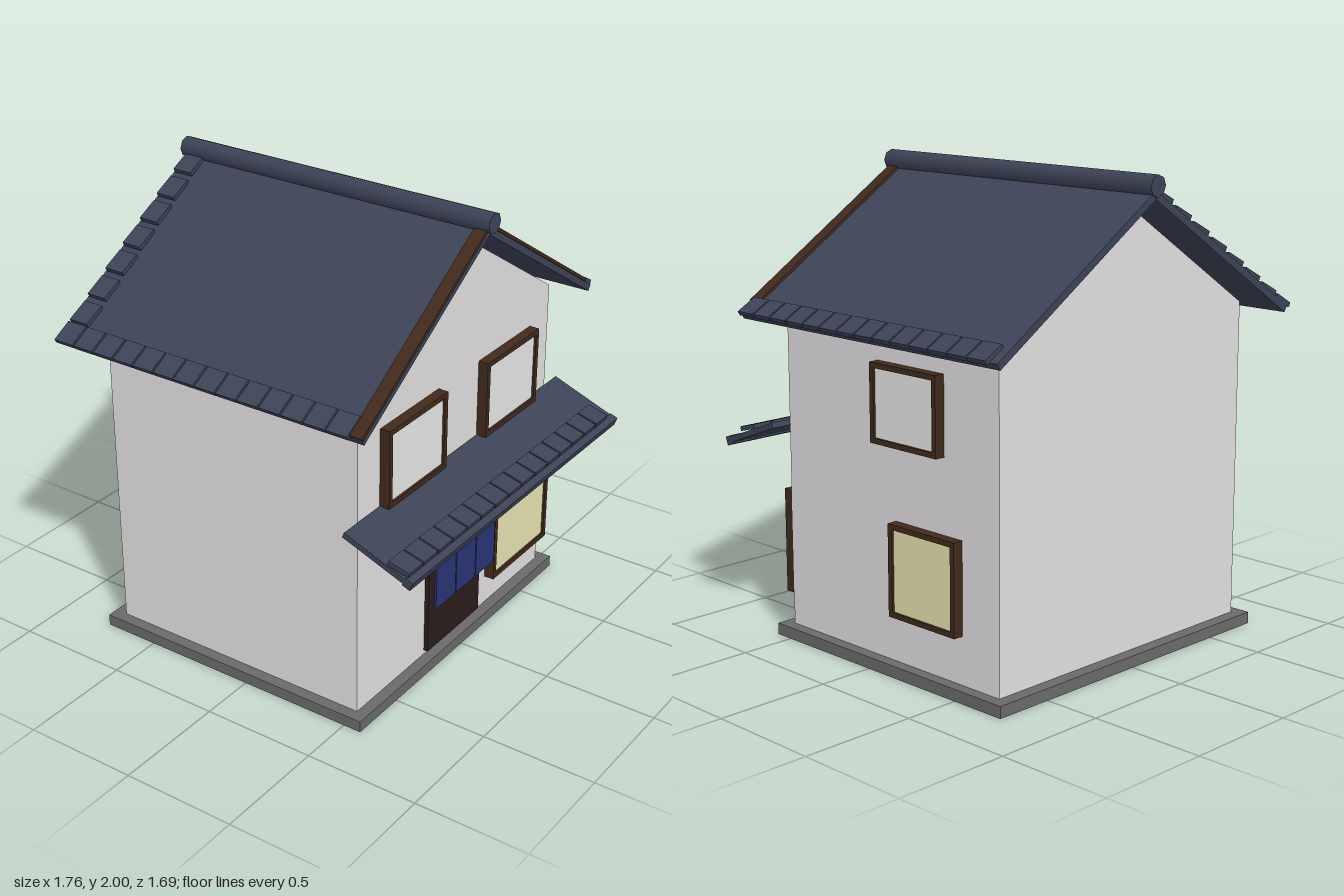
import * as THREE from 'three';

const mat = (name, color, extra = {}) => new THREE.MeshStandardMaterial({ name, color, ...extra });

export function createModel() {
  const house = new THREE.Group();
  house.name = 'house';

  const plaster = mat('plaster', 0xe2dfe1);
  const stone = mat('stone', 0x6a6a6a);
  const slate = mat('slate', 0x3d4356);
  const wood = mat('wood', 0x402a1c);
  const doorWood = mat('doorWood', 0x2a1c1a);
  const paleGlass = mat('paleGlass', 0xececec);
  const litGlass = mat('litGlass', 0xece6b4);
  const cloth = mat('cloth', 0x2a3474);

  // Box given by its [min, max] range on each axis
  function box(name, material, x, y, z, parent = house) {
    const m = new THREE.Mesh(
      new THREE.BoxGeometry(x[1] - x[0], y[1] - y[0], z[1] - z[0]), material);
    m.position.set((x[0] + x[1]) / 2, (y[0] + y[1]) / 2, (z[0] + z[1]) / 2);
    m.name = name;
    parent.add(m);
    return m;
  }

  // Base and walls
  const back = -0.695, front = 0.53, half = 0.71;
  box('base', stone, [-0.76, 0.76], [0, 0.05], [-0.75, 0.58]);
  box('walls', plaster, [-half, half], [0.05, 1.41], [back, front]);

  // Triangular gable block
  const tri = new THREE.Shape([
    new THREE.Vector2(-half, 1.41), new THREE.Vector2(half, 1.41), new THREE.Vector2(0, 1.87)]);
  const gable = new THREE.Mesh(
    new THREE.ExtrudeGeometry(tri, { depth: front - back, bevelEnabled: false }), plaster);
  gable.position.z = back;
  gable.name = 'gable';
  house.add(gable);

  // Window facing local +z, standing out from the wall
  function makeWindow(name, w, h, glass) {
    const g = new THREE.Group();
    g.name = name;
    const b = 0.022, d = 0.045, x = w / 2, y = h / 2;
    for (const s of [-1, 1]) {
      const sx = [s * x, s * (x - b)].sort((p, q) => p - q);
      const sy = [s * y, s * (y - b)].sort((p, q) => p - q);
      box('frameSide', wood, sx, [-y, y], [0, d], g);
      box('frameRail', wood, [-x + b, x - b], sy, [0, d], g);
    }
    box('pane', glass, [-x + b, x - b], [-y + b, y - b], [0, d - 0.01], g);
    house.add(g);
    return g;
  }
  for (const s of [-1, 1])
    makeWindow('upperFrontWindow', 0.41, 0.34, paleGlass).position.set(s * 0.355, 1.105, front);
  makeWindow('lowerFrontWindow', 0.45, 0.45, litGlass).position.set(0.485, 0.41, front);
  for (const [name, y, z, h, glass] of [
    ['upperSideWindow', 1.108, -0.212, 0.325, paleGlass],
    ['lowerSideWindow', 0.443, -0.308, 0.385, litGlass]]) {
    const w = makeWindow(name, 0.375, h, glass);
    w.position.set(half, y, z);
    w.rotation.y = Math.PI / 2;
  }

  // Door and the three hanging cloth panels
  box('door', doorWood, [-0.22, 0.18], [0.07, 0.625], [front, 0.55]);
  for (let i = 0; i < 3; i++) {
    const x = -0.25 + i * 0.154;
    box('doorCurtain', cloth, [x, x + 0.147], [0.32, 0.64], [0.596, 0.605]);
  }

  // Roof slopes: local x runs down the slope, local y is its normal
  const pitch = 0.571;
  for (const s of [-1, 1]) {
    const slope = new THREE.Group();
    slope.name = s < 0 ? 'rightRoofSlope' : 'leftRoofSlope';
    slope.position.y = 1.905;
    slope.rotation.z = -s * pitch;
    house.add(slope);
    const along = (a, b) => (s > 0 ? [a, b] : [-b, -a]);
    box('roofSlab', slate, along(0, 0.998), [0, 0.03], [-0.83, 0.65], slope);
    box('bargeBoard', wood, along(0, s < 0 ? 0.998 : 0.93), [0.028, 0.042], [0.598, 0.655], slope);
    // Row of tiles along the eave
    for (let i = 0; i < 14; i++) {
      const z = (s > 0 ? -0.79 : -0.83) + i * 0.1027;
      const t = box('eaveTile', slate, along(0.912, 1.012), [0.028, 0.048], [z, z + 0.095], slope);
      t.rotation.z = s * 0.06;
    }
    // Row of tiles up the back edge of one slope
    if (s < 0) for (let i = 0; i < 7; i++) {
      const a = 0.06 + i * 0.134;
      const t = box('vergeTile', slate, along(a - 0.06, a + 0.045), [0.03, 0.05], [-0.82, -0.73], slope);
      t.rotation.z = s * 0.1;
    }
  }

  // Ridge pole
  const ridge = new THREE.Mesh(new THREE.CylinderGeometry(0.044, 0.044, 1.51, 8), slate);
  ridge.rotation.x = Math.PI / 2;
  ridge.position.set(0, 1.957, -0.085);
  ridge.name = 'ridge';
  house.add(ridge);

  // Awning above the door, with a lip and a row of tiles
  const awning = new THREE.Group();
  awning.name = 'awning';
  awning.position.set(0, 0.928, front);
  awning.rotation.x = 0.365;
  house.add(awning);
  box('awningSlab', slate, [-0.805, 0.805], [-0.012, 0.012], [0, 0.31], awning);
  box('awningLip', slate, [-0.805, 0.805], [-0.02, 0.018], [0.295, 0.333], awning);
  for (let i = 0; i < 15; i++) {
    const x = -0.805 + i * 0.1035;
    const t = box('awningTile', slate, [x, x + 0.096], [0.022, 0.042], [0.21, 0.305], awning);
    t.rotation.x = -0.1;
  }

  return house;
}
